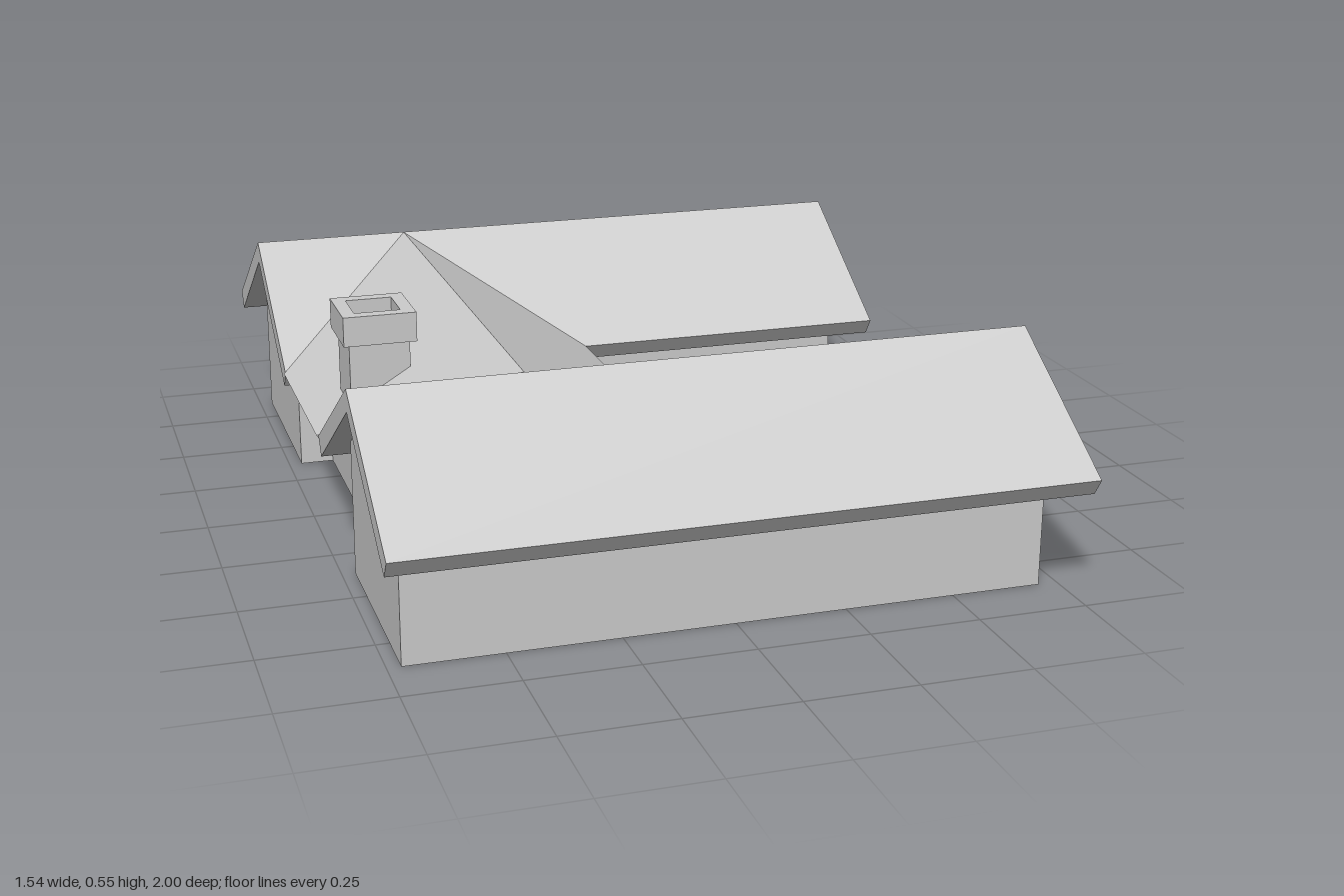
import * as THREE from 'three';

const material = new THREE.MeshStandardMaterial({ color: 0xcccccc, flatShading: true });

// Gable cross-sections, centred on the ridge: [offset, height]
const roofProfile = [[0, 0.517], [0.382, 0.285], [0.355, 0.245], [0, 0.466], [-0.355, 0.245], [-0.382, 0.285]];
const wallProfile = [[-0.25, 0], [0.25, 0], [0.25, 0.311], [0, 0.466], [-0.25, 0.311]];
const RIDGE_Z = 0.617, LINK_X = -0.39;

const toShape = (points) => new THREE.Shape(points.map(([x, y]) => new THREE.Vector2(x, y)));

// Extrude a profile along z, centred on the origin
function prism(profile, length) {
  const geometry = new THREE.ExtrudeGeometry(toShape(profile), { depth: length, bevelEnabled: false });
  return geometry.translate(0, 0, -length / 2);
}

// Square tube standing on y = bottom
function squareTube(width, hole, bottom, top) {
  const square = (s) => [[-s, -s], [s, -s], [s, s], [-s, s]];
  const shape = toShape(square(width / 2));
  shape.holes.push(new THREE.Path(toShape(square(hole / 2)).getPoints().reverse()));
  const geometry = new THREE.ExtrudeGeometry(shape, { depth: top - bottom, bevelEnabled: false });
  return geometry.rotateX(-Math.PI / 2).translate(0, bottom, 0);
}

function add(parent, name, geometry, x = 0, z = 0) {
  const mesh = new THREE.Mesh(geometry, material);
  mesh.name = name;
  mesh.position.set(x, 0, z);
  parent.add(mesh);
}

export function createModel() {
  const house = new THREE.Group();
  house.name = 'house';

  // Two parallel wings with overhanging gable roofs
  for (const [side, label] of [[1, 'front'], [-1, 'back']]) {
    const wing = new THREE.Group();
    wing.name = label + 'Wing';
    add(wing, label + 'Walls', prism(wallProfile, 1.425).rotateY(Math.PI / 2), -0.007, side * RIDGE_Z);
    add(wing, label + 'Roof', prism(roofProfile, 1.536).rotateY(Math.PI / 2), 0, side * RIDGE_Z);
    house.add(wing);
  }

  // Connecting wing, its roof mitred into the valleys of the other two
  const link = new THREE.Group();
  link.name = 'connectingWing';
  add(link, 'connectingWalls', prism(wallProfile, 0.74), LINK_X);
  const roof = prism(roofProfile, 1);
  const pos = roof.attributes.position;
  for (let i = 0; i < pos.count; i++) {
    pos.setZ(i, Math.sign(pos.getZ(i)) * (RIDGE_Z - 0.003 - Math.abs(pos.getX(i))));
  }
  roof.computeVertexNormals();
  add(link, 'connectingRoof', roof, LINK_X);
  house.add(link);

  // Hollow chimney with a wider cap
  const chimney = new THREE.Group();
  chimney.name = 'chimney';
  add(chimney, 'chimneyShaft', squareTube(0.138, 0.105, 0.315, 0.5), -0.618, 0.142);
  add(chimney, 'chimneyCap', squareTube(0.166, 0.105, 0.482, 0.55), -0.618, 0.142);
  house.add(chimney);

  return house;
}
